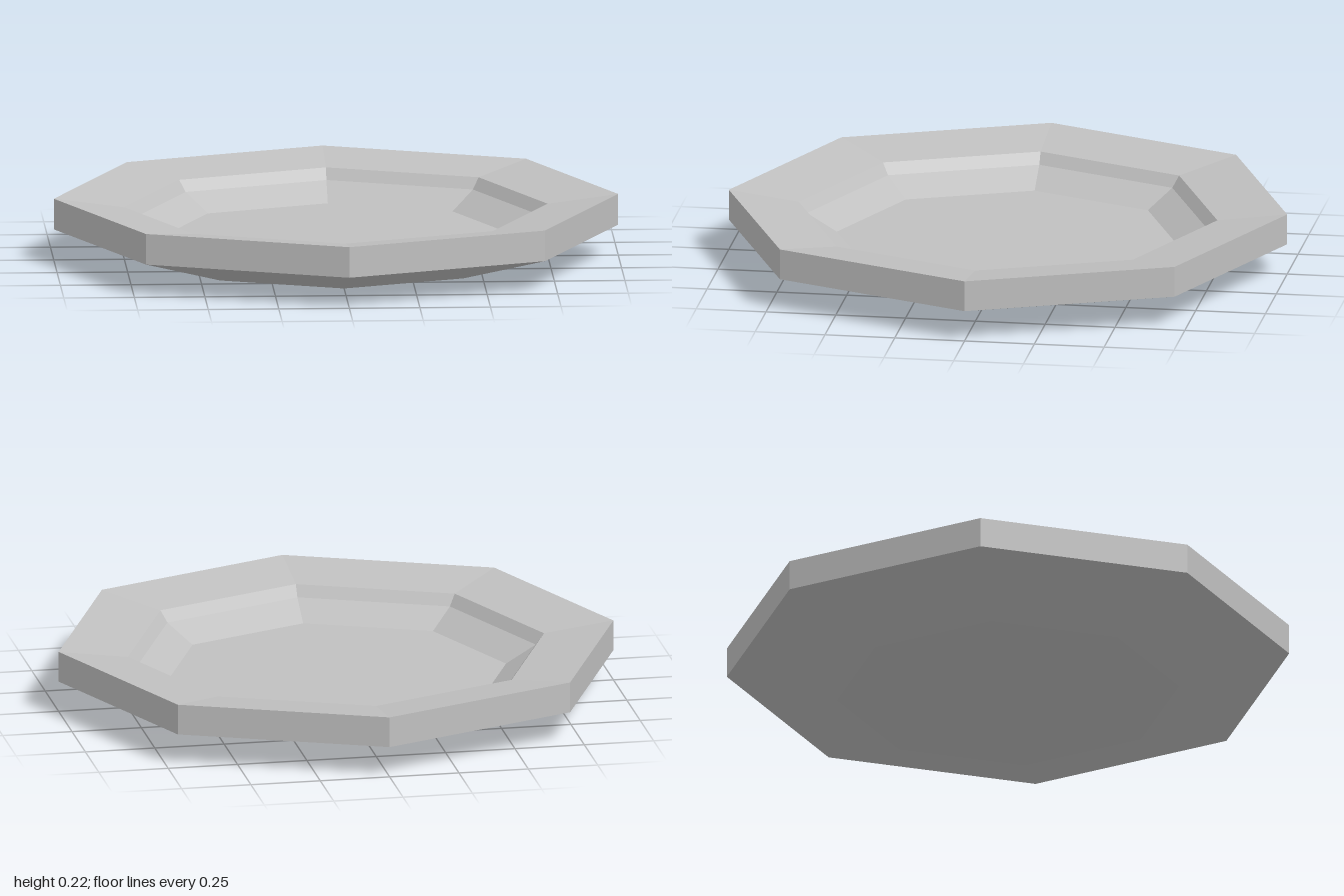
import * as THREE from 'three';

const SIDES = 8;

// Faceted octagonal ring surface from [radius, height] points, listed from the underside round to the floor
function facetedLathe(name, profile, material) {
  const points = profile.map(([r, y]) => new THREE.Vector2(r, y));
  const geometry = new THREE.LatheGeometry(points, SIDES).toNonIndexed();
  geometry.computeVertexNormals();
  const mesh = new THREE.Mesh(geometry, material);
  mesh.name = name;
  return mesh;
}

// Flat octagonal disc with a corner on each axis, facing up or down
function disc(name, radius, y, up, material) {
  const mesh = new THREE.Mesh(new THREE.CircleGeometry(radius, SIDES), material);
  mesh.rotation.x = up ? -Math.PI / 2 : Math.PI / 2;
  mesh.position.y = y;
  mesh.name = name;
  return mesh;
}

export function createModel() {
  const plate = new THREE.Group();
  plate.name = 'plate';
  const ceramic = new THREE.MeshStandardMaterial({ color: 0xc0c0c0 });
  ceramic.name = 'light grey ceramic';

  plate.add(
    disc('base', 0.61, 0, false, ceramic),
    // Sloping underside and upright outer edge
    facetedLathe('underside', [[0.61, 0], [1, 0.11]], ceramic),
    facetedLathe('outerEdge', [[1, 0.11], [1, 0.22]], ceramic),
    // Rim dips gently inward, then drops in two steps to the floor
    facetedLathe('rim', [[1, 0.22], [0.75, 0.187]], ceramic),
    facetedLathe('wellWall', [[0.75, 0.187], [0.72, 0.147], [0.613, 0.083]], ceramic),
    disc('floor', 0.613, 0.083, true, ceramic)
  );
  return plate;
}
